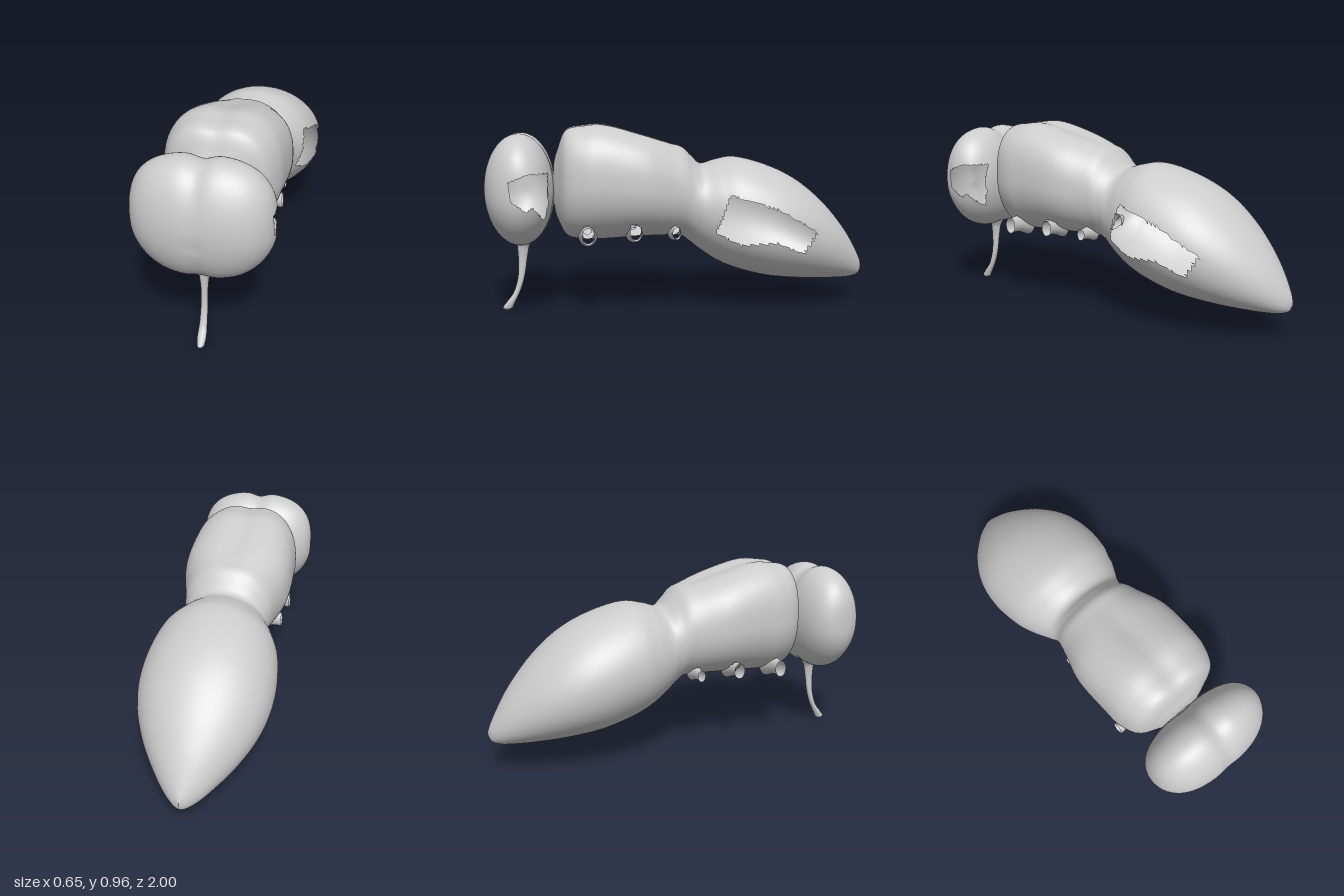
import * as THREE from 'three';

const material = new THREE.MeshStandardMaterial({ color: 0xcccccc, side: THREE.DoubleSide });

function add(parent, name, geometry) {
  const mesh = new THREE.Mesh(geometry, material);
  mesh.name = name;
  parent.add(mesh);
  return mesh;
}

// Is the point (z, y) inside the outline?
function inside(outline, z, y) {
  let hit = false;
  outline.forEach(([z1, y1], i) => {
    const [z2, y2] = outline[(i + 1) % outline.length];
    if ((y1 > y) !== (y2 > y) && z < z1 + ((y - y1) / (y2 - y1)) * (z2 - z1)) hit = !hit;
  });
  return hit;
}

// Closed rings joined into a skin; triangles whose centre is in a hole are left out.
function skin(rows, segments, point, isHole) {
  const pts = [], index = [];
  for (let i = 0; i <= rows; i++) {
    for (let j = 0; j < segments; j++) pts.push(point(i / rows, (j / segments) * Math.PI * 2));
  }
  const tri = (a, b, c) => {
    const m = pts[a].clone().add(pts[b]).add(pts[c]).divideScalar(3);
    if (!isHole(m)) index.push(a, b, c);
  };
  for (let i = 0; i < rows; i++) {
    for (let j = 0; j < segments; j++) {
      const k = (j + 1) % segments;
      const a = i * segments + j, c = i * segments + k;
      tri(a, a + segments, c);
      tri(a + segments, c + segments, c);
    }
  }
  const g = new THREE.BufferGeometry().setFromPoints(pts);
  g.setIndex(index);
  g.computeVertexNormals();
  return g;
}

// Distance to a unit superellipse in direction (c, s)
const superRadius = (c, s, n) => 1 / Math.pow(Math.abs(c) ** n + Math.abs(s) ** n, 1 / n);

// Body stations from front to tail: z, top, bottom, half width
const stations = [
  [0.657, 0.66, 0.64, 0.0], [0.655, 0.78, 0.53, 0.09], [0.635, 0.85, 0.47, 0.15],
  [0.59, 0.945, 0.395, 0.235], [0.5, 0.965, 0.375, 0.275], [0.41, 0.97, 0.375, 0.283],
  [0.2, 0.915, 0.385, 0.283], [0.06, 0.872, 0.385, 0.245], [0, 0.852, 0.38, 0.23],
  [-0.05, 0.805, 0.345, 0.222], [-0.1, 0.762, 0.305, 0.238], [-0.18, 0.78, 0.25, 0.277],
  [-0.27, 0.795, 0.208, 0.31], [-0.44, 0.755, 0.16, 0.33], [-0.6, 0.68, 0.14, 0.31],
  [-0.75, 0.56, 0.131, 0.245], [-0.88, 0.41, 0.128, 0.15], [-0.95, 0.3, 0.133, 0.082],
  [-0.985, 0.235, 0.148, 0.035], [-1, 0.2, 0.18, 0.0],
];

// Leg stubs: z, y, end x, radius in z, radius in y
const legs = [[0.49, 0.425, 0.255, 0.03, 0.043], [0.255, 0.435, 0.245, 0.029, 0.04], [0.05, 0.425, 0.225, 0.021, 0.03]];

const abdomenHole = [[-0.144, 0.427], [-0.214, 0.618], [-0.44, 0.55], [-0.65, 0.43], [-0.585, 0.32], [-0.44, 0.382], [-0.27, 0.368]];
const headHole = [[0.86, 0.7], [0.775, 0.736], [0.68, 0.736], [0.68, 0.59], [0.7, 0.507], [0.75, 0.58], [0.78, 0.56], [0.85, 0.61]];

function bodyGeometry() {
  const zTop = new THREE.CatmullRomCurve3(stations.map(s => new THREE.Vector3(s[0], s[1], 0)), false, 'centripetal');
  const lowWide = new THREE.CatmullRomCurve3(stations.map(s => new THREE.Vector3(s[0], s[2], s[3])), false, 'centripetal');
  return skin((stations.length - 1) * 8, 112, (t, angle) => {
    const { x: z, y: top } = zTop.getPoint(t);
    const { y: low, z: wide } = lowWide.getPoint(t);
    const c = Math.cos(angle), s = Math.sin(angle);
    const thorax = THREE.MathUtils.smoothstep(z, -0.1, 0.25);
    const r = superRadius(c, s, s > 0 ? 2 + 0.7 * thorax : 2);
    const x = wide * c * r;
    // shallow dip along the back of the thorax
    const dip = s > 0 ? 0.014 * thorax * Math.exp(-((x / 0.06) ** 2)) : 0;
    return new THREE.Vector3(x, (top + low) / 2 + ((top - low) / 2) * s * r - dip, z);
  }, p => (p.x > 0 && inside(abdomenHole, p.z, p.y))
    || legs.some(([z, y, , rz, ry]) => ((p.z - z) / rz) ** 2 + ((p.y - y) / ry) ** 2 < 1));
}

// Wide head of two lobes with a groove down the middle
function headGeometry() {
  return skin(96, 96, (t, angle) => {
    const c = Math.cos(t * Math.PI), s = Math.sin(t * Math.PI);
    const r = superRadius(c, s, 2.7);
    const up = Math.cos(angle), front = Math.sin(angle);
    let x = 0.322 * c * r;
    const groove = 1 - (up > -0.3 ? 0.07 : 0.03) * Math.exp(-((x / 0.05) ** 2)) * (0.4 + 0.6 * Math.abs(up));
    const y = 0.642 + 0.284 * up * s * r * groove;
    const z = 0.824 + 0.175 * front * s * r * groove;
    x *= 1 - 0.1 * THREE.MathUtils.smoothstep(0.6 - y, 0, 0.25);
    x *= 1 - 0.08 * THREE.MathUtils.smoothstep(z, 0.8, 1);
    return new THREE.Vector3(x, y, z);
  }, p => p.x > 0.1 && inside(headHole, p.z, p.y));
}

// Thin feeding tube: y, z, half width, half depth
function proboscisGeometry() {
  const rows = [[0.43, 0.815, 0.1, 0.08], [0.375, 0.815, 0.045, 0.04], [0.34, 0.82, 0.024, 0.03],
    [0.27, 0.825, 0.016, 0.022], [0.18, 0.835, 0.016, 0.017], [0.1, 0.86, 0.018, 0.016],
    [0.05, 0.89, 0.021, 0.022], [0.02, 0.908, 0.018, 0.026], [0.003, 0.912, 0.0, 0.0]];
  const path = new THREE.CatmullRomCurve3(rows.map(r => new THREE.Vector3(0, r[0], r[1])));
  const size = new THREE.CatmullRomCurve3(rows.map(r => new THREE.Vector3(r[2], r[3], 0)));
  return skin(40, 20, (t, angle) => {
    const p = path.getPoint(t), q = size.getPoint(t);
    return new THREE.Vector3(q.x * Math.sin(angle), p.y, p.z + q.y * Math.cos(angle));
  }, () => false);
}

export function createModel() {
  const model = new THREE.Group();
  model.name = 'insectBody';

  add(model, 'thoraxAndAbdomen', bodyGeometry());
  add(model, 'head', headGeometry());
  add(model, 'proboscis', proboscisGeometry());

  const neck = add(model, 'neck', new THREE.CylinderGeometry(0.07, 0.07, 0.06, 24, 1, true));
  neck.rotation.x = Math.PI / 2;
  neck.position.set(0, 0.65, 0.66);

  // Hollow leg stubs, flared where they leave the thorax
  for (const [z, y, end, rz, ry] of legs) {
    const root = 0.11;
    const profile = [[1.75, 0], [1.4, 0.25], [1.08, 0.5], [0.95, 0.75], [1, 1]]
      .map(([r, t]) => new THREE.Vector2(r, t));
    const stub = new THREE.LatheGeometry(new THREE.SplineCurve(profile).getPoints(12), 24);
    stub.scale(ry, end - root, rz);
    for (const side of [1, -1]) {
      const leg = add(model, side > 0 ? 'leftLegStub' : 'rightLegStub', stub);
      leg.rotation.z = -side * Math.PI / 2;
      leg.position.set(side * root, y, z);
    }
  }
  return model;
}
